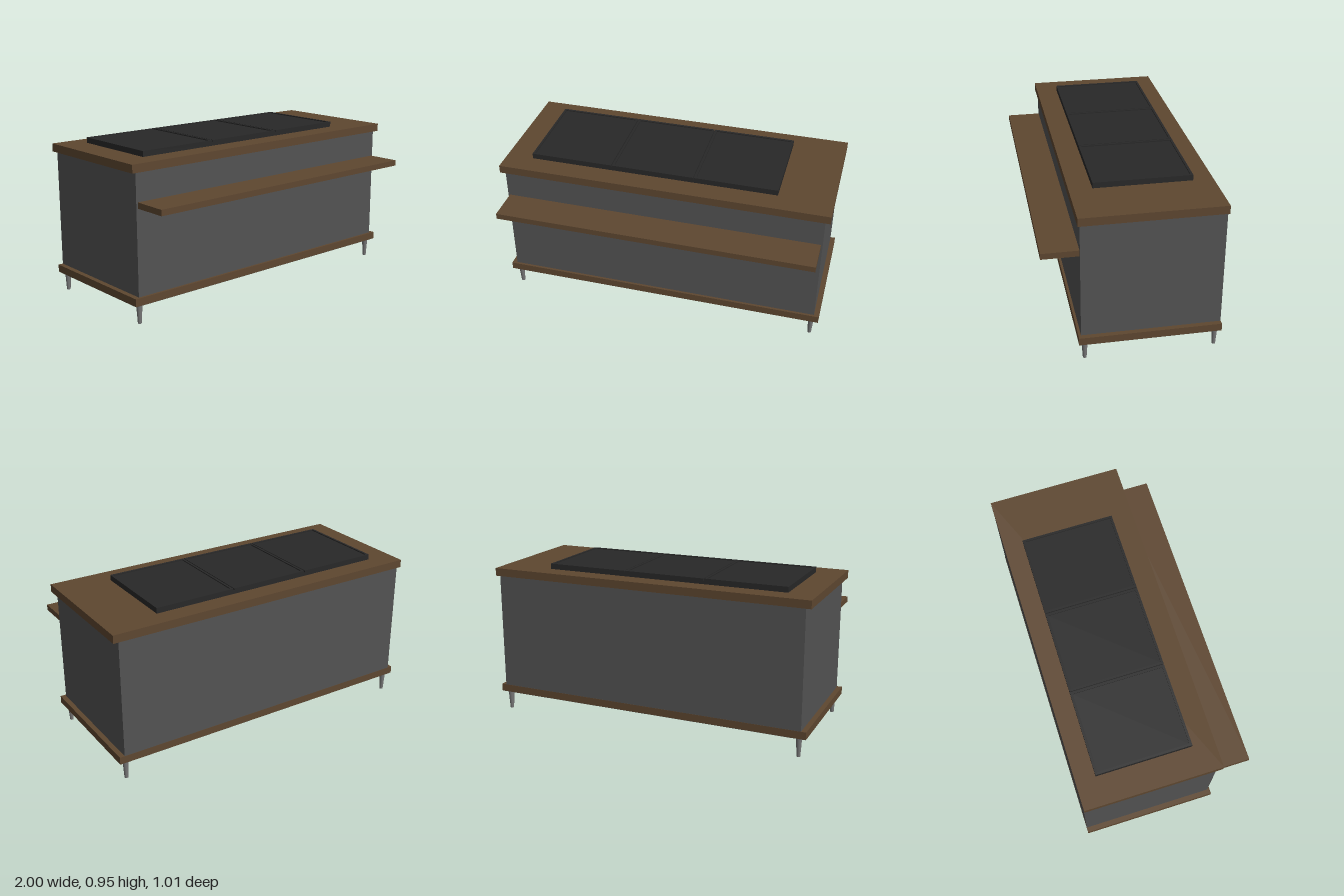
import * as THREE from 'three';

const mat = (color) => new THREE.MeshStandardMaterial({ color });
const wood = mat(0x5e4730);
const grey = mat(0x535353);
const black = mat(0x282828);
const metal = mat(0x777777);

// Box given by its limits on each axis
function slab(parent, name, material, [x0, x1], [y0, y1], [z0, z1]) {
  const mesh = new THREE.Mesh(new THREE.BoxGeometry(x1 - x0, y1 - y0, z1 - z0), material);
  mesh.position.set((x0 + x1) / 2, (y0 + y1) / 2, (z0 + z1) / 2);
  mesh.name = name;
  parent.add(mesh);
  return mesh;
}

// Shallow tray: a raised rim around a slightly recessed panel
function hobTray(width, depth, height) {
  const tray = new THREE.Group();
  tray.name = 'hobTray';
  const rim = 0.014, w = width / 2, d = depth / 2;
  const outline = (Path, a, b) => new Path([[-a, -b], [a, -b], [a, b], [-a, b]].map(([x, y]) => new THREE.Vector2(x, y)));
  const shape = outline(THREE.Shape, w, d);
  shape.holes.push(outline(THREE.Path, w - rim, d - rim));
  const geometry = new THREE.ExtrudeGeometry(shape, { depth: height, bevelEnabled: false });
  geometry.rotateX(-Math.PI / 2);
  const frame = new THREE.Mesh(geometry, black);
  frame.name = 'trayRim';
  tray.add(frame);
  slab(tray, 'trayPanel', black, [-w + rim, w - rim], [0, height - 0.006], [-d + rim, d - rim]);
  return tray;
}

export function createModel() {
  const model = new THREE.Group();
  model.name = 'servingCounter';

  // Cabinet between two wooden boards, flush at the back
  slab(model, 'cabinet', grey, [-0.97, 0.97], [0.162, 0.868], [-0.504, 0.295]);
  slab(model, 'worktop', wood, [-1, 1], [0.868, 0.916], [-0.505, 0.31]);
  slab(model, 'baseBoard', wood, [-1, 1], [0.117, 0.162], [-0.505, 0.31]);
  slab(model, 'underside', grey, [-0.998, 0.998], [0.115, 0.117], [-0.503, 0.308]);

  // Front tray shelf
  slab(model, 'frontShelf', wood, [-0.96, 0.96], [0.667, 0.702], [0.294, 0.505]);

  // Three hob trays joined by a low strip under the gaps
  const left = -0.837, pitch = 0.505, gap = 0.01, z0 = -0.388, z1 = 0.178;
  for (let i = 0; i < 3; i++) {
    const tray = hobTray(pitch - gap / 2, z1 - z0, 0.033);
    tray.position.set(left + pitch * (i + 0.5), 0.916, (z0 + z1) / 2);
    model.add(tray);
    if (i > 0) {
      const x = left + pitch * i;
      slab(model, 'trayJoint', black, [x - gap / 2, x + gap / 2], [0.916, 0.938], [z0, z1]);
    }
  }

  // Tapered legs
  const legGeometry = new THREE.CylinderGeometry(0.018, 0.011, 0.115, 12);
  for (const x of [-0.953, 0.953]) {
    for (const z of [-0.476, 0.273]) {
      const leg = new THREE.Mesh(legGeometry, metal);
      leg.position.set(x, 0.0575, z);
      leg.name = 'leg';
      model.add(leg);
    }
  }
  return model;
}
